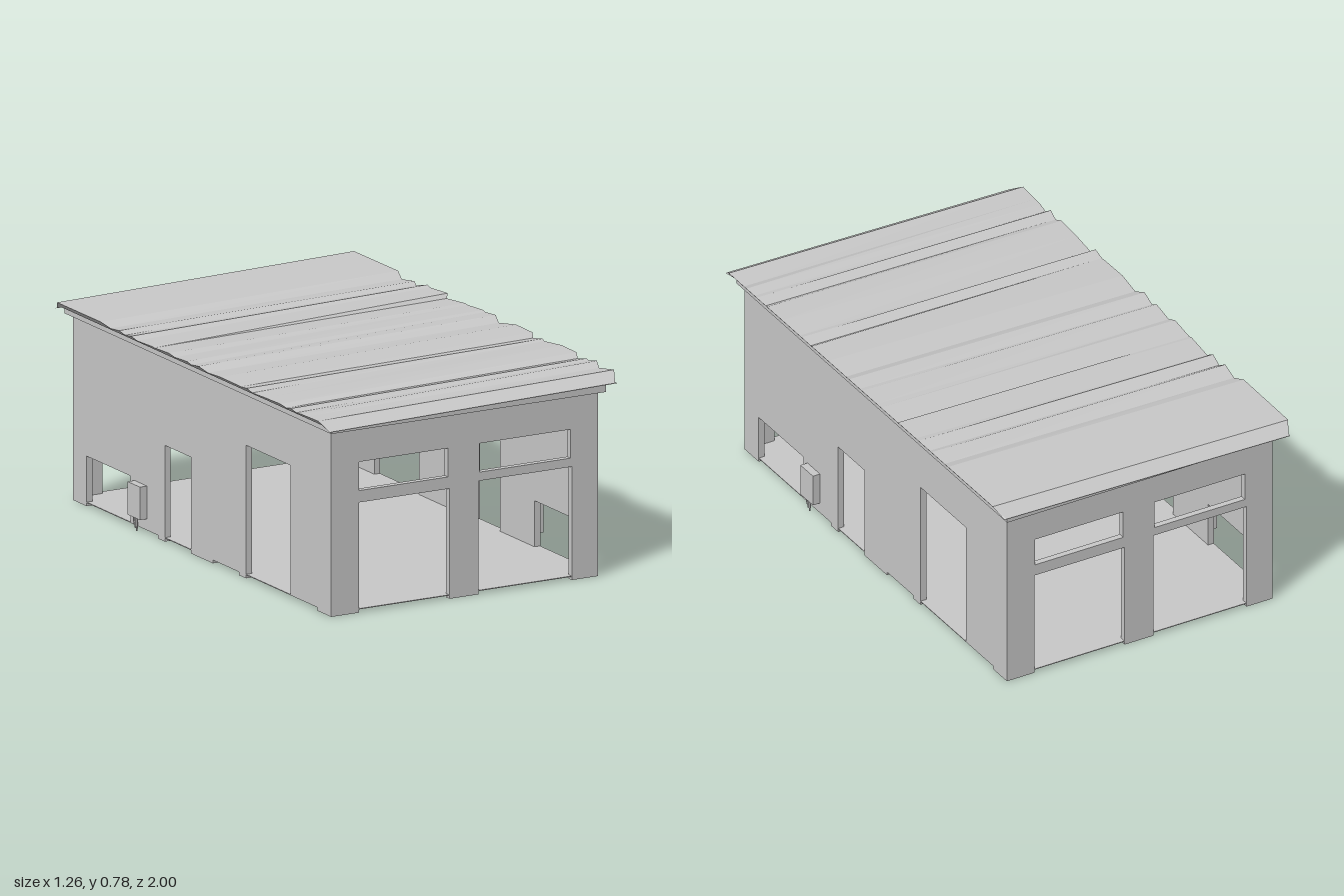
import * as THREE from 'three';

const grey = new THREE.MeshStandardMaterial({ color: 0xc8c8c8, flatShading: true, side: THREE.DoubleSide });
grey.name = 'plain grey';

const T = 0.025;      // wall thickness
const FLOOR = 0.015;  // floor level
const HX = 0.565, HZ = 0.94;

function mesh(geometry, name) {
  const m = new THREE.Mesh(geometry, grey);
  m.name = name;
  return m;
}

function box(name, x0, x1, y0, y1, z0, z1) {
  const g = new THREE.BoxGeometry(x1 - x0, y1 - y0, z1 - z0);
  g.translate((x0 + x1) / 2, (y0 + y1) / 2, (z0 + z1) / 2);
  return mesh(g, name);
}

// Upright wall panel: doors [u0, u1, top] notch the bottom edge, windows [u0, u1, y0, y1] are holes
function wallPanel(half, base, doors, windows) {
  const s = new THREE.Shape();
  s.moveTo(-half, base);
  for (const [a, b, top] of doors) {
    s.lineTo(a, base);
    s.lineTo(a, top);
    s.lineTo(b, top);
    s.lineTo(b, base);
  }
  s.lineTo(half, base);
  s.lineTo(half, 0.72);
  s.lineTo(-half, 0.72);
  s.closePath();
  for (const [a, b, y0, y1] of windows) {
    const h = new THREE.Path();
    h.moveTo(a, y0);
    h.lineTo(a, y1);
    h.lineTo(b, y1);
    h.lineTo(b, y0);
    h.closePath();
    s.holes.push(h);
  }
  return new THREE.ExtrudeGeometry(s, { depth: T, bevelEnabled: false });
}

// One end wall, one side wall and its utility box; used twice by half a turn
function halfBuilding() {
  const half = new THREE.Group();

  const end = wallPanel(HX, 0,
    [[-0.448, -0.064, 0.418], [0.058, 0.454, 0.43]],
    [[-0.446, -0.07, 0.463, 0.572], [0.064, 0.448, 0.463, 0.572]]);
  end.translate(0, 0, HZ - T);
  half.add(mesh(end, 'endWall'));

  const side = wallPanel(HZ - T, FLOOR,
    [[-0.84, -0.52, 0.19], [-0.27, -0.08, 0.365], [0.32, 0.645, 0.505]], []);
  side.rotateY(Math.PI / 2).translate(HX - T, 0, 0);
  half.add(mesh(side, 'sideWall'));

  // Short footings below floor level
  for (const [a, b] of [[-0.915, -0.84], [-0.32, -0.27], [-0.08, 0.08], [0.27, 0.32], [0.84, 0.915]])
    half.add(box('footing', HX - T, HX, 0, FLOOR, a, b));

  // Wall box with tapering conduits
  half.add(box('utilityBox', HX, HX + 0.03, 0.055, 0.18, 0.4, 0.49));
  for (const [z, y] of [[0.45, 0], [0.46, 0.01], [0.468, 0.02]]) {
    const c = new THREE.CylinderGeometry(0.006, 0.003, 0.055 - y, 6);
    c.translate(HX + 0.014, (0.055 + y) / 2, z);
    half.add(mesh(c, 'conduit'));
  }
  return half;
}

// Corrugated sheet: rows across the width, joined along z into a closed skin
function roofGeometry() {
  // [z, left rise, right rise]
  const rows = [
    [-1, -0.018, -0.018], [-0.95, 0.017, 0.018], [-0.63, 0.019, 0.019], [-0.58, 0.004, 0.001],
    [-0.50, 0.016, 0.011], [-0.475, 0.003, 0.002], [-0.415, 0.015, 0.017], [-0.39, 0.002, 0.013],
    [-0.27, 0.01, 0.019], [-0.255, 0.008, 0.004], [-0.14, 0.016, 0.013], [-0.11, 0.006, 0.012],
    [-0.01, 0.015, 0.017], [0.01, 0.006, 0.014], [0.08, 0.018, 0.019], [0.125, 0.002, 0.002],
    [0.23, 0.012, 0.018], [0.35, 0.011, 0.017], [0.375, 0.01, 0.003], [0.43, 0.017, 0.012],
    [0.45, 0.003, 0.008], [0.56, 0.01, 0.018], [0.67, 0.014, 0.017], [0.70, 0.005, 0.002],
    [0.75, 0.016, 0.013], [0.77, 0.003, 0.01], [0.815, 0.009, 0.019], [0.855, 0.01, 0.003],
    [0.945, 0.014, 0.016], [1, -0.018, -0.018],
  ];
  const pos = [], index = [];
  rows.forEach(([z, l, r], i) => {
    const tip = i === 0 || i === rows.length - 1;
    const xl = -0.617 - l * 0.8, xr = 0.612 + r * 0.8;
    const yl = 0.738 + l, yr = 0.759 + r;
    const bl = tip ? yl - 0.002 : 0.733, br = tip ? yr - 0.002 : 0.75;
    pos.push(-0.61, bl, z, xl, yl, z, xr, yr, z, 0.605, br, z);
    if (i === 0) return;
    for (let k = 0; k < 4; k++) {
      const a = (i - 1) * 4 + k, b = (i - 1) * 4 + (k + 1) % 4;
      index.push(a, a + 4, b, b, a + 4, b + 4);
    }
  });
  const n = (rows.length - 1) * 4;
  index.push(0, 1, 2, 0, 2, 3, n, n + 2, n + 1, n, n + 3, n + 2);
  const g = new THREE.BufferGeometry();
  g.setAttribute('position', new THREE.Float32BufferAttribute(pos, 3));
  g.setIndex(index);
  const flat = g.toNonIndexed();
  flat.computeVertexNormals();
  return flat;
}

export function createModel() {
  const model = new THREE.Group();
  model.name = 'garage';

  // Walls, mirrored by a half turn about the slightly offset centre
  const walls = new THREE.Group();
  walls.name = 'walls';
  walls.position.x = -0.005;
  const front = halfBuilding();
  front.name = 'frontAndRight';
  const back = halfBuilding();
  back.name = 'backAndLeft';
  back.rotation.y = Math.PI;
  walls.add(front, back);
  model.add(walls);

  // Floor slab
  model.add(box('floor', -0.569, 0.559, FLOOR - 0.003, FLOOR, -HZ + 0.001, HZ - 0.001));

  // Fascia with a top that slopes with the roof
  const f = new THREE.Shape([
    new THREE.Vector2(-0.587, 0.703), new THREE.Vector2(0.577, 0.703),
    new THREE.Vector2(0.577, 0.751), new THREE.Vector2(-0.587, 0.735),
  ]);
  const fascia = new THREE.ExtrudeGeometry(f, { depth: 1.94, bevelEnabled: false });
  fascia.translate(0, 0, -0.97);
  model.add(mesh(fascia, 'fascia'));

  model.add(mesh(roofGeometry(), 'corrugatedRoof'));
  return model;
}
